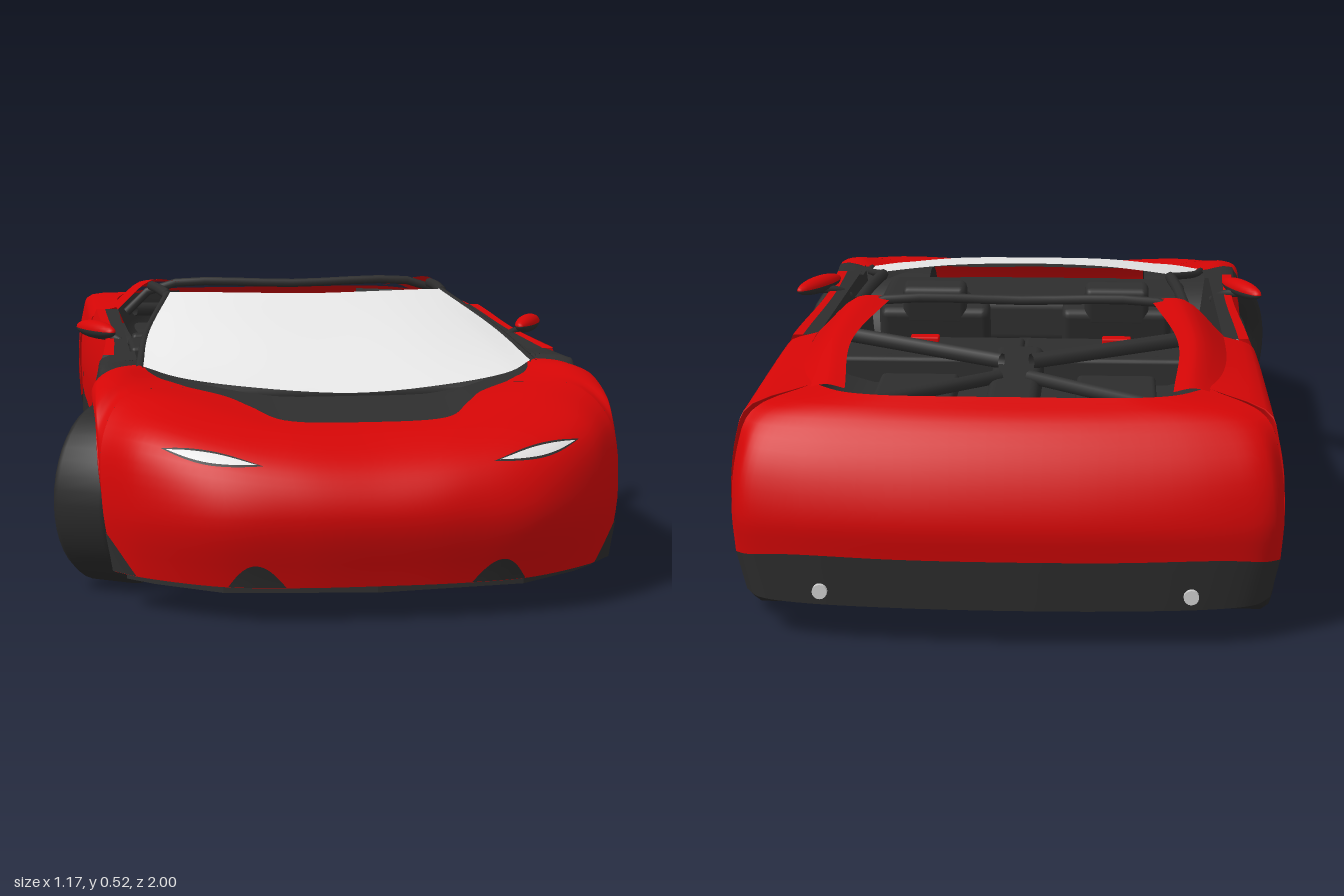
import * as THREE from 'three';
import { RoundedBoxGeometry } from 'three/addons/geometries/RoundedBoxGeometry.js';

const D = THREE.DoubleSide;
const paint = (name, color, side = THREE.FrontSide) => {
  const m = new THREE.MeshStandardMaterial({ color, side });
  m.name = name;
  return m;
};
const V = (p) => new THREE.Vector3(...p);
const flip = (rib) => rib.map(([x, y, z]) => [-x, y, z]);
// half list of ribs (centre first) to a full-width list
const full = (ribs) => [...ribs.slice(1).reverse().map(flip), ...ribs];

// smooth surface through ribs: u runs across ribs, v along each rib
function surf(ribs) {
  const curves = ribs.map((r) => new THREE.CatmullRomCurve3(r.map(V)));
  return (u, v) => new THREE.CatmullRomCurve3(curves.map((c) => c.getPoint(v))).getPoint(u);
}

export function createModel() {
  const red = paint('body red', 0xd40606, D);
  const black = paint('trim black', 0x2e2e2e, D);
  const rubber = paint('tyre rubber', 0x2a2a2a, D);
  const glass = paint('pale glass', 0xe8e8e8, D);
  const silver = paint('silver metal', 0xcccccc);

  const car = new THREE.Group();
  car.name = 'sportsCar';
  const half = new THREE.Group();
  half.name = 'leftSide';

  const add = (parent, name, geo, mat, pos = [0, 0, 0], rot = [0, 0, 0]) => {
    const m = new THREE.Mesh(geo, mat);
    m.name = name;
    m.position.set(...pos);
    m.rotation.set(...rot);
    parent.add(m);
    return m;
  };
  const sheet = (parent, name, fn, mat, nu = 24, nv = 12) => {
    const g = new THREE.PlaneGeometry(1, 1, nu, nv);
    const p = g.attributes.position;
    for (let i = 0; i < p.count; i++) p.setXYZ(i, ...fn(p.getX(i) + 0.5, p.getY(i) + 0.5).toArray());
    g.computeVertexNormals();
    return add(parent, name, g, mat);
  };
  const box = (parent, name, size, pos, mat = black, rot) =>
    add(parent, name, new RoundedBoxGeometry(...size, 2, Math.min(...size) * 0.25), mat, pos, rot);
  const tube = (parent, name, pts, r, mat = black) =>
    add(parent, name, new THREE.TubeGeometry(new THREE.CatmullRomCurve3(pts.map(V)), 12, r, 8), mat);

  // Side surface rules: half-width, belt line, sill line and slanted door edge
  const P = (z, y) => {
    const w = 0.508 - 0.018 * Math.exp(-(((z - 0.05) / 0.3) ** 2));
    return [w - (y > 0.3 ? 1.6 : 0.4) * (y - 0.3) ** 2, y, z];
  };
  const lerp = THREE.MathUtils.lerp;
  const belt = (z) => 0.432 - 0.033 * z;
  const sillTop = (z) => {
    if (z > 0.12) return lerp(0.2, 0.08, Math.min(1, (z - 0.12) / 0.17));
    return lerp(0.2, 0.237, Math.min(1, (0.12 - z) / 0.4));
  };
  const slant = (y) => 0.13 * (y - 0.08);
  const sidePanel = (name, z0, z1, lo, hi, mat) =>
    sheet(half, name, (u, v) => {
      const z = lerp(z0, z1, u);
      const y = lerp(lo(z), hi(z), v);
      return V(P(z + slant(y) * (1 - u) ** 2, y));
    }, mat, 32, 10);

  // Nose and hood
  const corner = [[0.475, 0.068, 0.785], [0.495, 0.2, 0.78], [0.49, 0.32, 0.745], [0.44, 0.385, 0.66], [0.32, 0.385, 0.58]];
  const nose = surf(full([
    [[0, 0.068, 0.965], [0, 0.2, 1], [0, 0.275, 0.965], [0, 0.33, 0.87], [0, 0.345, 0.81]],
    [[0.15, 0.068, 0.96], [0.15, 0.2, 0.995], [0.16, 0.28, 0.962], [0.16, 0.335, 0.87], [0.155, 0.35, 0.8]],
    [[0.28, 0.068, 0.935], [0.3, 0.2, 0.965], [0.3, 0.3, 0.922], [0.26, 0.352, 0.82], [0.21, 0.365, 0.72]],
    [[0.42, 0.068, 0.845], [0.43, 0.2, 0.87], [0.42, 0.32, 0.84], [0.36, 0.375, 0.73], [0.25, 0.375, 0.65]],
    corner,
  ]));
  sheet(car, 'noseAndHood', nose, red, 56, 24);

  // Thin details lying on the nose, k counted in ribs from the centre
  const onNose = (name, k0, k1, low, high, lift, mat) =>
    sheet(half, name, (s, t) => {
      const p = nose(0.5 + lerp(k0, k1, s) / 8, lerp(low(s), high(s), t));
      return p.set(p.x * (1 + lift), p.y + lift * 0.4, p.z * (1 + lift));
    }, mat, 14, 3);
  const bow = (s) => Math.sin(Math.PI * s);
  const lamp = (s) => 0.515 - 0.02 * s;
  onNose('headlightSurround', 1.35, 2.7, (s) => lamp(s) - 0.036 * bow(s), (s) => lamp(s) + 0.036 * bow(s), 0.003, black);
  onNose('headlight', 1.42, 2.62, (s) => lamp(s) - 0.025 * bow(s), (s) => lamp(s) + 0.025 * bow(s), 0.006, glass);
  onNose('bumperCornerVent', 3.2, 4, () => 0, (s) => 0.14 * s, 0.004, black);
  onNose('bumperLowerVent', 1.15, 1.95, () => 0, (s) => 0.08 * bow(s), 0.004, black);

  // Front fender over the wheel, then the dark panel behind it
  const fenderEnd = [[0.506, 0.362, 0.505], [0.503, 0.378, 0.505], [0.492, 0.395, 0.503], [0.46, 0.41, 0.475], [0.4, 0.41, 0.41]];
  sheet(half, 'frontFender', surf([
    corner,
    [[0.5, 0.25, 0.755], [0.5, 0.29, 0.735], [0.497, 0.33, 0.72], [0.445, 0.39, 0.635], [0.345, 0.39, 0.55]],
    [[0.503, 0.335, 0.69], [0.503, 0.345, 0.68], [0.5, 0.365, 0.67], [0.45, 0.4, 0.6], [0.37, 0.395, 0.52]],
    [[0.507, 0.372, 0.58], [0.505, 0.382, 0.575], [0.495, 0.397, 0.565], [0.45, 0.412, 0.53], [0.39, 0.402, 0.47]],
    fenderEnd,
  ]), red, 28, 14);
  const archPanel = [[0.46, 0.347], [0.42, 0.31], [0.39, 0.265], [0.375, 0.22], [0.365, 0.06], [0.29, 0.06]].map(([z, b]) => {
    const lean = (y) => P(z === 0.29 ? z + slant(y) : z, y);
    return [lean(b), lean(lerp(b, 0.39, 0.5)), lean(0.39), lean(0.413), [0.41, belt(z), Math.min(z, 0.4)]];
  });
  sheet(half, 'archRearPanel', surf([fenderEnd, ...archPanel]), black, 28, 12);

  // Dark liners inside the wheel arches and a plate closing the nose corner
  const archLiner = (name, z, r, x0, x1) => sheet(half, name, (u, v) => {
    const a = lerp(0.1, Math.PI - 0.1, u);
    return new THREE.Vector3(lerp(x0, x1, v), 0.178 + r * Math.sin(a), z + r * Math.cos(a));
  }, black, 24, 2);
  archLiner('frontArchLiner', 0.575, 0.2, 0.495, 0.27);
  archLiner('rearArchLiner', -0.715, 0.195, 0.495, 0.33);
  box(half, 'noseCornerPlate', [0.2, 0.23, 0.012], [0.37, 0.185, 0.77]);

  // Doors, sills and the ledge beside the cabin
  sidePanel('door', 0.29, -0.38, sillTop, belt, red);
  sidePanel('sill', 0.29, -0.53, () => 0.055, sillTop, black);
  const ledge = (name, a, b, mat) => sheet(half, name, (u, v) => {
    const z = lerp(0.34, -0.38, u);
    const p = V(P(z, belt(z)));
    return p.setX(lerp(p.x, 0.42, lerp(a, b, v)));
  }, mat, 20, 2);
  ledge('doorTop', 0, 0.4, red);
  ledge('doorLedge', 0.4, 1, black);

  // Rear quarter with wheel arch
  const tail = [[0.505, 0.16, -0.9], [0.51, 0.25, -0.9], [0.5, 0.35, -0.885], [0.475, 0.42, -0.855], [0.37, 0.45, -0.77]];
  const quarter = [[-0.38, 0.237], [-0.46, 0.237]];
  for (let i = 0; i <= 10; i++) {
    const a = (Math.PI * i) / 10.5;
    quarter.push([-0.715 + 0.19 * Math.cos(a), 0.178 + 0.19 * Math.sin(a)]);
  }
  sheet(half, 'rearQuarter', surf([...quarter.map(([z, b]) => {
    const back = Math.max(0, (-0.45 - z) / 0.45);
    return [P(z, b), P(z, lerp(b, 0.39, 0.5)), P(z, 0.39), P(z + 0.03 * back, 0.43),
      [0.42 - 0.05 * back ** 2, 0.45, z + 0.13 * back ** 2]];
  }), tail]), red, 48, 14);

  // Tail and dark rear bumper
  const rear = surf(full([
    [[0, 0.18, -0.99], [0, 0.25, -1], [0, 0.345, -0.972], [0, 0.42, -0.918], [0, 0.452, -0.855]],
    [[0.2, 0.18, -0.985], [0.2, 0.25, -0.995], [0.2, 0.345, -0.967], [0.2, 0.42, -0.913], [0.15, 0.452, -0.855]],
    [[0.4, 0.18, -0.965], [0.4, 0.25, -0.973], [0.39, 0.345, -0.95], [0.36, 0.42, -0.9], [0.24, 0.452, -0.85]],
    [[0.475, 0.17, -0.94], [0.487, 0.25, -0.945], [0.475, 0.35, -0.925], [0.44, 0.42, -0.88], [0.31, 0.452, -0.83]],
    tail,
  ]));
  sheet(car, 'tail', rear, red, 48, 16);
  sheet(car, 'rearBumper', (u, v) => {
    const p = rear(u, 0);
    return p.set(p.x * (1 - 0.03 * v), lerp(p.y, 0.08, v), p.z + 0.015 * v);
  }, black, 40, 4);
  add(half, 'exhaust', new THREE.CylinderGeometry(0.014, 0.014, 0.05, 16), silver, [0.34, 0.11, -0.948], [Math.PI / 2, 0, 0]);

  // Flat underbody cut out around the front wheels, with a rising rear diffuser
  const plan = [[0, 0.94], [0.28, 0.905], [0.4, 0.82], [0.45, 0.77], [0.27, 0.74], [0.27, 0.4], [0.42, 0.37], [0.48, 0.29],
    [0.48, -0.53], [0.34, -0.56], [0, -0.56]];
  const outline = [...plan, ...plan.slice(1, -1).reverse().map(([x, z]) => [-x, z])].map(([x, z]) => new THREE.Vector2(x, z));
  add(car, 'underbody', new THREE.ExtrudeGeometry(new THREE.Shape(outline), { depth: 0.025, bevelEnabled: false }),
    black, [0, 0.075, 0], [Math.PI / 2, 0, 0]);
  sheet(car, 'diffuser', surf(full([
    [[0, 0.052, -0.55], [0, 0.06, -0.75], [0, 0.074, -0.9], [0, 0.08, -0.975]],
    [[0.335, 0.052, -0.55], [0.335, 0.06, -0.75], [0.335, 0.074, -0.89], [0.335, 0.08, -0.955]],
    [[0.34, 0.052, -0.55], [0.34, 0.06, -0.75], [0.47, 0.078, -0.9], [0.46, 0.08, -0.925]],
  ])), black, 24, 16);
  box(car, 'frontChassis', [0.54, 0.26, 0.42], [0, 0.19, 0.59]);
  box(car, 'rearChassis', [0.66, 0.25, 0.54], [0, 0.205, -0.6]);

  // Cowl and windscreen
  sheet(car, 'cowl', surf(full([
    [[0, 0.345, 0.81], [0, 0.37, 0.64]],
    [[0.155, 0.35, 0.8], [0.14, 0.37, 0.63]],
    [[0.21, 0.365, 0.72], [0.2, 0.375, 0.61]],
    [[0.25, 0.375, 0.65], [0.24, 0.38, 0.59]],
    [[0.32, 0.384, 0.58], [0.28, 0.384, 0.55]],
    [[0.372, 0.394, 0.52], [0.33, 0.385, 0.49]],
    [[0.405, 0.408, 0.41], [0.36, 0.39, 0.4]],
  ])), black, 48, 3);
  sheet(car, 'windscreen', surf(full([
    [[0, 0.378, 0.655], [0, 0.456, 0.35], [0, 0.514, 0.015]],
    [[0.2, 0.388, 0.62], [0.18, 0.46, 0.32], [0.16, 0.515, -0.01]],
    [[0.33, 0.399, 0.55], [0.31, 0.46, 0.25], [0.25, 0.514, -0.045]],
    [[0.4, 0.41, 0.45], [0.376, 0.454, 0.21], [0.314, 0.512, -0.075]],
  ])), glass, 32, 16);
  tube(half, 'windscreenPillar', [[0.408, 0.405, 0.45], [0.381, 0.449, 0.21], [0.318, 0.507, -0.075]], 0.008);
  tube(half, 'roofRail', [[0.318, 0.506, -0.075], [0.33, 0.508, -0.2], [0.34, 0.504, -0.33]], 0.012);
  tube(car, 'roofHoop', [[-0.4, 0.44, -0.35], [-0.33, 0.5, -0.34], [0, 0.508, -0.32], [0.33, 0.5, -0.34], [0.4, 0.44, -0.35]], 0.01);

  // Flying buttress
  sheet(half, 'buttress', surf([
    [[0.27, 0.513, -0.32], [0.34, 0.517, -0.34], [0.422, 0.445, -0.36]],
    [[0.32, 0.49, -0.6], [0.36, 0.492, -0.58], [0.422, 0.443, -0.56]],
    [[0.305, 0.455, -0.82], [0.34, 0.46, -0.81], [0.385, 0.443, -0.78]],
  ]), red, 20, 8);

  // Cabin tub and engine bay
  const liner = (name, rows) => sheet(half, name, surf(rows), black, 20, 10);
  liner('cabinTub', [0.42, 0.1, -0.33].map((z) => [[0.42, belt(z), z], [0.4, 0.27, z], [0.36, 0.13, z], [0, 0.12, z]]));
  liner('engineBayLiner', [[0.42, 0.36, -0.33], [0.42, 0.36, -0.55], [0.37, 0.32, -0.77], [0.24, 0.22, -0.855]].map(([x, x2, z]) =>
    [[x, 0.445, z], [x2, 0.35, z], [0, 0.345, z]]));
  box(car, 'bulkhead', [0.78, 0.28, 0.04], [0, 0.25, -0.33]);
  box(car, 'dashboard', [0.74, 0.12, 0.24], [0, 0.32, 0.37]);
  box(car, 'centreConsole', [0.12, 0.16, 0.6], [0, 0.2, 0]);
  box(car, 'engineSpine', [0.1, 0.07, 0.5], [0, 0.385, -0.6]);
  box(half, 'seatCushion', [0.24, 0.1, 0.3], [0.2, 0.19, 0.08]);
  box(half, 'seatBack', [0.24, 0.28, 0.07], [0.2, 0.31, -0.06], black, [-0.25, 0, 0]);
  box(half, 'headrest', [0.14, 0.09, 0.06], [0.2, 0.45, -0.1], black, [-0.2, 0, 0]);
  box(half, 'rearShelf', [0.4, 0.04, 0.2], [0.2, 0.36, -0.23]);
  box(half, 'engineCover', [0.16, 0.04, 0.2], [0.2, 0.365, -0.55]);
  tube(half, 'outerStrut', [[0.03, 0.43, -0.52], [0.38, 0.445, -0.36]], 0.016);
  tube(half, 'rearStrut', [[0.03, 0.42, -0.6], [0.28, 0.42, -0.8]], 0.014);
  box(half, 'harnessPad', [0.06, 0.012, 0.03], [0.2, 0.43, -0.345], red);
  add(car, 'steeringWheel', new THREE.TorusGeometry(0.07, 0.01, 8, 24), black, [0.2, 0.35, 0.2], [-0.3, 0, 0]);

  // Door mirrors: red cap above, dark shell below
  const cap = new THREE.SphereGeometry(1, 20, 8, 0, Math.PI * 2, 0, Math.PI / 2);
  add(half, 'mirrorCap', cap, red, [0.485, 0.446, 0.08], [0, -0.45, 0]).scale.set(0.022, 0.02, 0.084);
  add(half, 'mirrorShell', cap, black, [0.485, 0.446, 0.08], [Math.PI, 0.45, 0]).scale.set(0.022, 0.019, 0.084);
  tube(half, 'mirrorStalk', [[0.42, 0.41, 0.12], [0.445, 0.428, 0.1], [0.485, 0.435, 0.08]], 0.009);

  const other = half.clone();
  other.name = 'rightSide';
  other.scale.x = -1;
  car.add(half, other);

  // Wheels, with the front pair steered
  const tyre = new THREE.LatheGeometry([[0.1, -0.05], [0.115, -0.06], [0.15, -0.066], [0.17, -0.06], [0.18, -0.045], [0.18, 0.045],
    [0.17, 0.06], [0.15, 0.066], [0.115, 0.06], [0.1, 0.05]].map((p) => new THREE.Vector2(...p)), 40);
  for (const [name, z, x, steer] of [['front', 0.567, 0.443, -0.56], ['rear', -0.715, 0.435, 0]]) {
    for (const s of [1, -1]) {
      const wheel = new THREE.Group();
      wheel.name = `${name}${s > 0 ? 'Left' : 'Right'}Wheel`;
      wheel.position.set(s * x, 0.18, z);
      wheel.rotation.set(0, steer, -s * Math.PI / 2);
      add(wheel, 'tyre', tyre, rubber);
      add(wheel, 'disc', new THREE.CylinderGeometry(0.102, 0.102, 0.08, 32), silver);
      add(wheel, 'hub', new THREE.CylinderGeometry(0.022, 0.022, 0.094, 16), black);
      for (let i = 0; i < 5; i++) {
        const a = (i * Math.PI * 2) / 5;
        add(wheel, 'spoke', new THREE.BoxGeometry(0.04, 0.008, 0.005), black, [0.036 * Math.cos(a), 0.041, -0.036 * Math.sin(a)], [0, a, 0]);
      }
      car.add(wheel);
    }
  }
  return car;
}
